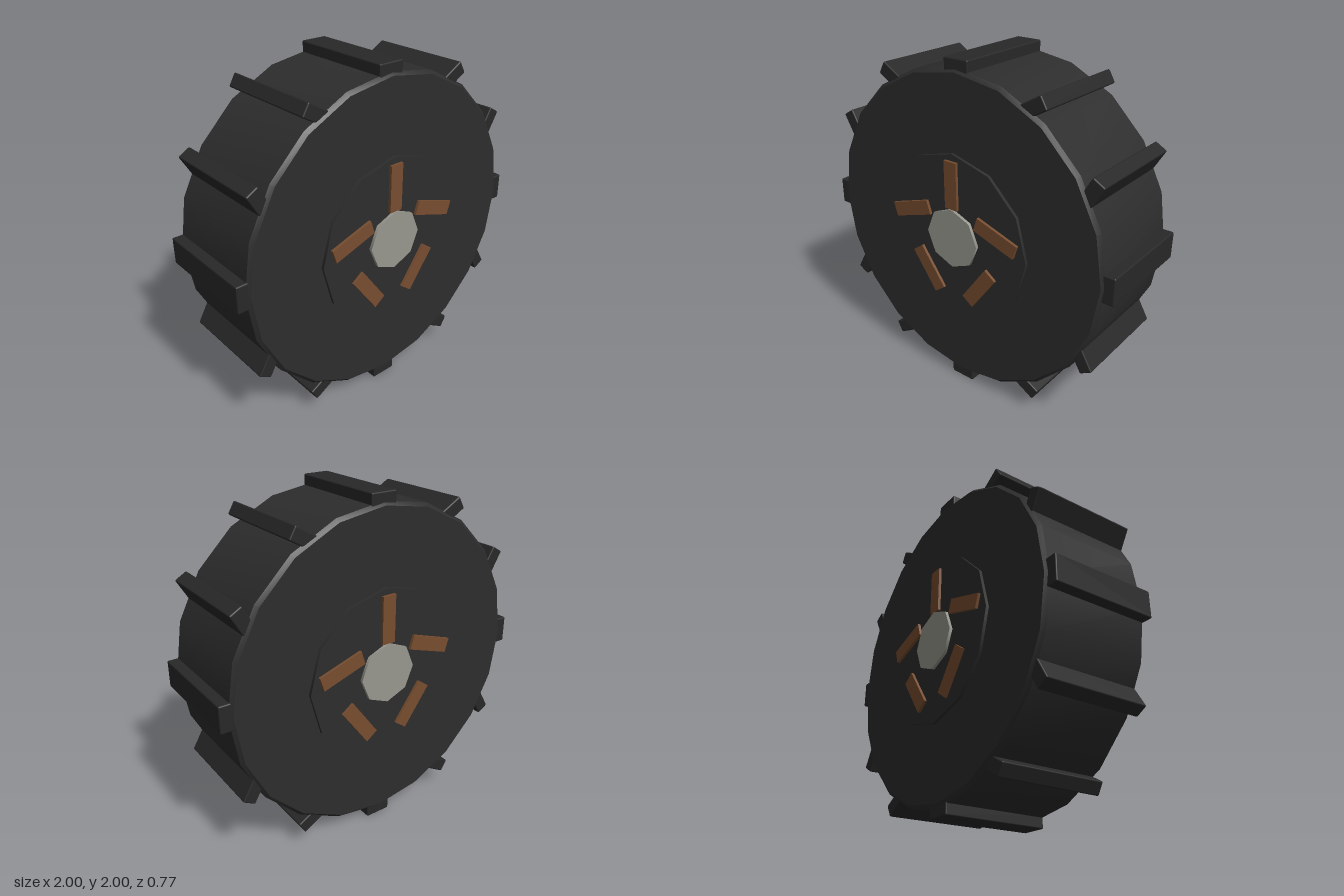
import * as THREE from 'three';
import { toCreasedNormals } from 'three/addons/utils/BufferGeometryUtils.js';
import { RoundedBoxGeometry } from 'three/addons/geometries/RoundedBoxGeometry.js';

const material = (name, color) => {
  const m = new THREE.MeshStandardMaterial({ color });
  m.name = name;
  return m;
};

export function createModel() {
  const rubber = material('dark rubber', 0x2d2d2d);
  const treadRubber = material('tread rubber', 0x282828);
  const rust = material('rusty brown', 0x774d2f);
  const steel = material('pale steel', 0x98988f);

  const model = new THREE.Group();
  model.name = 'wheel';
  const wheel = new THREE.Group();
  wheel.name = 'wheelBody';
  wheel.position.y = 1;
  model.add(wheel);

  const add = (parent, name, geometry, mat, x = 0, y = 0, z = 0, turn = 0) => {
    const mesh = new THREE.Mesh(geometry, mat);
    mesh.name = name;
    mesh.position.set(x, y, z);
    mesh.rotation.z = turn;
    parent.add(mesh);
    return mesh;
  };

  // Tyre: twenty-sided drum with a small bevelled shoulder, axis along z
  const profile = [[0, -0.333], [0.93, -0.333], [0.95, -0.313], [0.95, 0.313], [0.93, 0.333], [0, 0.333]]
    .map(([r, h]) => new THREE.Vector2(r, h));
  const tyre = new THREE.LatheGeometry(profile, 20).rotateX(Math.PI / 2);
  add(wheel, 'tyre', toCreasedNormals(tyre, 0.5), rubber);

  // Tread blocks: each turns against its place on the rim, so some stand edge-on
  const block = new RoundedBoxGeometry(0.16, 0.08, 0.64, 2, 0.008);
  for (let i = 0; i < 12; i++) {
    const a = (i / 12) * Math.PI * 2;
    add(wheel, 'treadBlock', block, treadRubber, Math.sin(a) * 0.96, Math.cos(a) * 0.96, 0, a);
  }

  // Hub plate, spokes and cap on both faces
  const plate = new THREE.CylinderGeometry(0.5, 0.5, 0.018, 12).rotateX(Math.PI / 2);
  const cap = new THREE.CylinderGeometry(0.18, 0.18, 0.018, 8).rotateX(Math.PI / 2);
  const spoke = new THREE.BoxGeometry(0.085, 0.28, 0.017);
  for (const side of ['front', 'back']) {
    const hub = new THREE.Group();
    hub.name = side + 'Hub';
    hub.rotation.y = side === 'front' ? 0 : Math.PI;
    wheel.add(hub);
    add(hub, 'hubPlate', plate, rubber, 0, 0, 0.358);
    add(hub, 'hubCap', cap, steel, 0, 0, 0.377);
    for (let i = 0; i < 5; i++) {
      const a = (i / 5) * Math.PI * 2;
      add(hub, 'spoke', spoke, rust, Math.sin(a) * 0.32, Math.cos(a) * 0.32, 0.376, a);
    }
  }
  return model;
}
